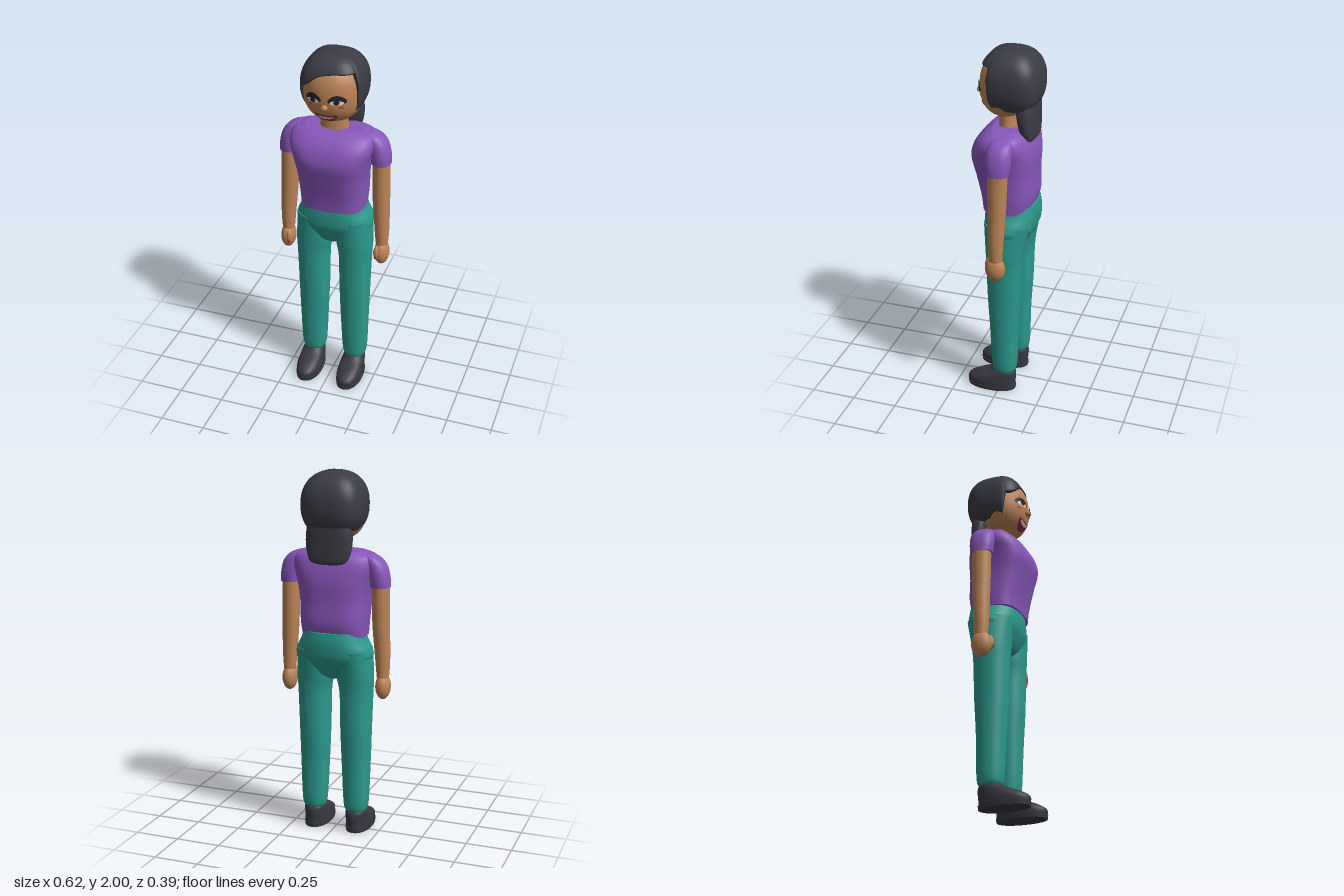
import * as THREE from 'three';

const mat = (name, color) => {
  const m = new THREE.MeshStandardMaterial({ color, side: THREE.DoubleSide });
  m.name = name;
  return m;
};
const pw = (v, e) => Math.sign(v) * Math.pow(Math.abs(v), e);

// smooth body through cross-sections [y, cx, cz, rx, rz], listed bottom to top; n = squareness
function loft(secs, n = 2, N = 40, sub = 5) {
  const pos = [], idx = [], rows = [];
  const at = i => secs[Math.max(0, Math.min(secs.length - 1, i))];
  for (let i = 0; i < secs.length - 1; i++) {
    for (let k = 0; k < sub; k++) {
      const t = k / sub;
      rows.push(secs[0].map((_, j) => {
        const a = at(i - 1)[j], b = at(i)[j], c = at(i + 1)[j], d = at(i + 2)[j];
        return b + 0.5 * t * (c - a + t * (2 * a - 5 * b + 4 * c - d + t * (3 * (b - c) + d - a)));
      }));
    }
  }
  rows.push(secs[secs.length - 1]);
  const ring = ([y, cx, cz, rx, rz]) => {
    const start = pos.length / 3;
    for (let i = 0; i < N; i++) {
      const a = i / N * Math.PI * 2;
      pos.push(cx + rx * pw(Math.cos(a), 2 / n), y, cz + rz * pw(Math.sin(a), 2 / n));
    }
    return start;
  };
  rows.forEach(ring);
  for (let r = 0; r < rows.length - 1; r++) for (let i = 0; i < N; i++) {
    const a = r * N + i, b = r * N + (i + 1) % N;
    idx.push(a, a + N, b, b, a + N, b + N);
  }
  // end caps with their own vertices
  [[rows[0], false], [rows[rows.length - 1], true]].forEach(([s, top]) => {
    const st = ring(s), c = pos.length / 3;
    pos.push(s[1], s[0], s[2]);
    for (let i = 0; i < N; i++) {
      const a = st + i, b = st + (i + 1) % N;
      top ? idx.push(c, b, a) : idx.push(c, a, b);
    }
  });
  return build(pos, idx);
}

function build(pos, idx) {
  const g = new THREE.BufferGeometry();
  g.setAttribute('position', new THREE.Float32BufferAttribute(pos, 3));
  g.setIndex(idx);
  g.computeVertexNormals();
  return g;
}

// head is a softly squared ellipsoid
const HEAD = { y: 1.795, rx: 0.158, ry: 0.165, rz: 0.14, n: 2.4 };
const faceZ = (x, y) => {
  const h = Math.pow(Math.max(0, 1 - Math.pow(Math.abs(y - HEAD.y) / HEAD.ry, HEAD.n)), 1 / HEAD.n);
  return HEAD.rz * Math.sqrt(Math.max(0, h * h - (x / HEAD.rx) ** 2));
};
function headGeometry() {
  const g = new THREE.SphereGeometry(1, 48, 32), p = g.attributes.position;
  for (let i = 0; i < p.count; i++) {
    const c = p.getY(i), s = Math.sqrt(Math.max(0, 1 - c * c)) || 1e-6;
    const k = Math.pow(s, 2 / HEAD.n) / s;
    p.setXYZ(i, p.getX(i) * k * HEAD.rx, HEAD.y + HEAD.ry * pw(c, 2 / HEAD.n), p.getZ(i) * k * HEAD.rz);
  }
  g.computeVertexNormals();
  return g;
}

// thin oval that follows the face; bend curls its ends upward
function facePatch(cx, cy, rx, ry, off, bend = 0) {
  const g = new THREE.RingGeometry(0.001, 1, 28, 5), p = g.attributes.position;
  for (let i = 0; i < p.count; i++) {
    const u = p.getX(i), x = cx + u * rx, y = cy + p.getY(i) * ry + bend * u * u;
    p.setXYZ(i, x, y, faceZ(x, y) + off);
  }
  g.computeVertexNormals();
  return g;
}

// hair cap with a swept hairline and a turned-in rim
function hairGeometry() {
  const N = 120, M = 20, e = 2.3, pos = [], idx = [];
  const ss = THREE.MathUtils.smoothstep, lerp = THREE.MathUtils.lerp;
  for (let r = 0; r <= M + 1; r++) for (let i = 0; i < N; i++) {
    const a = i / N * Math.PI * 2, c = Math.cos(a), s = Math.sin(a);
    const hairline = lerp(1.825, 1.92, ss(c, -0.9, 0.2));
    const edge = lerp(1.69, hairline, ss(s, 0.38, 0.5));
    const end = Math.acos(pw((edge - 1.82) / 0.18, e / 2));
    const th = end * Math.min(r, M) / M;
    const h = Math.pow(Math.sin(th), 2 / e) * (r > M ? 0.8 : 1);
    pos.push(0.17 * h * pw(c, 2 / 3), 1.82 + 0.18 * pw(Math.cos(th), 2 / e), -0.03 + 0.165 * h * pw(s, 2 / 3));
  }
  for (let r = 0; r <= M; r++) for (let i = 0; i < N; i++) {
    const a = r * N + i, b = r * N + (i + 1) % N;
    idx.push(a, b, a + N, b, b + N, a + N);
  }
  return build(pos, idx);
}

export function createModel() {
  const root = new THREE.Group();
  const skin = mat('skin', 0xbb8457), shirt = mat('purple shirt', 0x8857bb), pants = mat('teal trousers', 0x2b998c);
  const hair = mat('dark hair', 0x3b3b45), shoe = mat('dark shoes', 0x383841), black = mat('eye black', 0x22252b);
  const white = mat('eye white', 0xe6e0d6), lip = mat('lip red', 0x95303f), blush = mat('cheek red', 0xb8505a);
  const add = (name, geo, m) => {
    const mesh = new THREE.Mesh(geo, m);
    mesh.name = name;
    root.add(mesh);
    return mesh;
  };
  const ball = (name, m, p, r) => {
    const b = add(name, new THREE.SphereGeometry(1, 24, 16), m);
    b.position.set(...p);
    b.scale.set(...r);
    return b;
  };

  // torso and hips
  add('shirtBody', loft([
    [1.12, 0, -0.02, 0.174, 0.13], [1.2, 0, -0.025, 0.18, 0.145], [1.32, 0, -0.01, 0.187, 0.158],
    [1.42, 0, 0, 0.205, 0.17], [1.5, 0, -0.004, 0.228, 0.153], [1.555, 0, -0.016, 0.215, 0.118],
    [1.58, 0, -0.02, 0.16, 0.08]], 3, 56), shirt);
  add('trouserHips', loft([
    [0.88, 0, -0.03, 0.03, 0.05], [0.92, 0, -0.03, 0.15, 0.092], [1.0, 0, -0.034, 0.208, 0.132],
    [1.05, 0, -0.036, 0.206, 0.141], [1.1, 0, -0.038, 0.18, 0.143], [1.15, 0, -0.038, 0.163, 0.138]], 2.4, 48), pants);

  // limbs, mirrored
  for (const s of [1, -1]) {
    const side = s > 0 ? 'left' : 'right';
    add(side + 'TrouserLeg', loft([
      [0.12, 0.122 * s, -0.025, 0.05, 0.05], [0.16, 0.122 * s, -0.025, 0.068, 0.07],
      [0.4, 0.12 * s, -0.022, 0.079, 0.079], [0.6, 0.119 * s, -0.022, 0.085, 0.091],
      [0.8, 0.12 * s, -0.022, 0.09, 0.097], [0.9, 0.114 * s, -0.025, 0.1, 0.106],
      [1.05, 0.11 * s, -0.035, 0.095, 0.125]], 2.2), pants);
    add(side + 'Shoe', loft([
      [0.015, 0.122 * s, 0.05, 0.068, 0.137], [0.05, 0.122 * s, 0.05, 0.07, 0.137],
      [0.08, 0.122 * s, 0.025, 0.066, 0.115], [0.11, 0.122 * s, -0.012, 0.06, 0.076],
      [0.135, 0.122 * s, -0.02, 0.048, 0.052]], 2.2), shoe);
    add(side + 'ShoeSole', loft([
      [0, 0.122 * s, 0.051, 0.07, 0.138], [0.02, 0.122 * s, 0.051, 0.073, 0.141]], 2.2), shoe);
    add(side + 'Sleeve', loft([
      [1.395, 0.255 * s, -0.029, 0.052, 0.06], [1.45, 0.25 * s, -0.03, 0.054, 0.067],
      [1.51, 0.235 * s, -0.032, 0.052, 0.066], [1.55, 0.21 * s, -0.033, 0.042, 0.055],
      [1.57, 0.185 * s, -0.033, 0.02, 0.035]], 2.2), shirt);
    add(side + 'Arm', loft([
      [0.9, 0.27 * s, -0.022, 0.033, 0.036], [1.0, 0.268 * s, -0.022, 0.04, 0.042],
      [1.2, 0.259 * s, -0.027, 0.047, 0.049], [1.42, 0.255 * s, -0.029, 0.047, 0.054]]), skin);
    ball(side + 'Hand', skin, [0.271 * s, 0.85, -0.02], [0.041, 0.072, 0.055]);
    ball(side + 'Thumb', skin, [0.252 * s, 0.86, 0.022], [0.016, 0.042, 0.02]);
    ball(side + 'ThumbNail', lip, [0.251 * s, 0.84, 0.038], [0.007, 0.011, 0.004]);
  }

  // neck and head
  add('neck', loft([
    [1.55, 0, -0.018, 0.082, 0.06], [1.62, 0, -0.015, 0.074, 0.054], [1.7, 0, -0.01, 0.076, 0.056]]), skin);
  add('head', headGeometry(), skin);
  ball('nose', skin, [0, 1.748, 0.147], [0.018, 0.016, 0.018]);
  add('hairCap', hairGeometry(), hair);
  add('ponytail', loft([
    [1.515, 0, -0.135, 0.06, 0.02], [1.535, 0, -0.132, 0.105, 0.037], [1.62, 0, -0.122, 0.127, 0.048],
    [1.72, 0, -0.115, 0.12, 0.055], [1.78, 0, -0.115, 0.09, 0.045]], 2.6), hair);

  // face details
  for (const s of [1, -1]) {
    const side = s > 0 ? 'left' : 'right', x = 0.063 * s;
    add(side + 'Eyelashes', facePatch(x, 1.797, 0.046, 0.022, 0.006, -0.012), black);
    add(side + 'Eye', facePatch(x, 1.78, 0.034, 0.012, 0.009), white);
    add(side + 'Pupil', facePatch(x, 1.783, 0.015, 0.012, 0.012), black);
    add(side + 'Cheek', facePatch(0.08 * s, 1.752, 0.014, 0.007, 0.004), blush);
  }
  add('lips', facePatch(0, 1.674, 0.06, 0.025, 0.006, 0.024), lip);
  add('teeth', facePatch(0, 1.681, 0.045, 0.008, 0.009, 0.012), white);
  return root;
}
